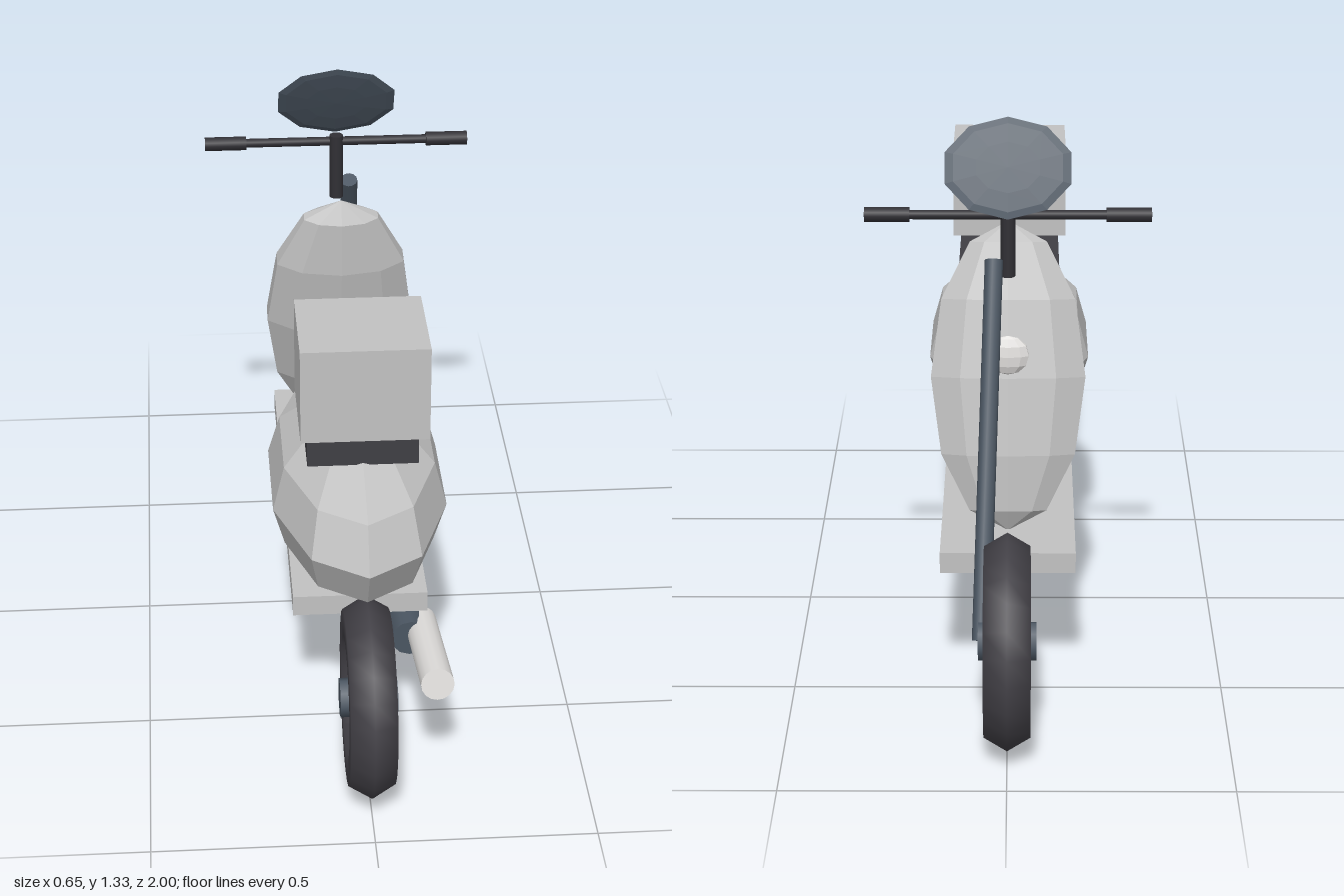
import * as THREE from 'three';

const mat = (name, color) => {
  const m = new THREE.MeshStandardMaterial({ color });
  m.name = name;
  return m;
};

export function createModel() {
  const model = new THREE.Group();
  model.name = 'scooter';
  const paint = mat('light grey paint', 0xc2c2c2);
  const chrome = mat('bright metal', 0xe4e2e0);
  const slate = mat('slate metal', 0x4b5662);
  const rubber = mat('tyre rubber', 0x434147);
  const black = mat('black trim', 0x313035);
  const vinyl = mat('seat vinyl', 0x403f44);

  const add = (name, geo, material, pos = [0, 0, 0], parent = model) => {
    const m = new THREE.Mesh(geo, material);
    m.name = name;
    m.position.set(...pos);
    parent.add(m);
    return m;
  };
  const box = (name, material, x, y0, y1, z0, z1) =>
    add(name, new THREE.BoxGeometry(2 * x, y1 - y0, z1 - z0), material, [0, (y0 + y1) / 2, (z0 + z1) / 2]);

  // Faceted ellipsoid with a vertex row along z
  const pod = (rx, ry, rz) => {
    const g = new THREE.SphereGeometry(1, 10, 6).rotateY(Math.PI / 2).scale(rx, ry, rz).toNonIndexed();
    g.computeVertexNormals();
    return g;
  };
  // Straight round bar between two points
  const bar = (name, material, a, b, r, sides = 12, parent = model) => {
    const p = new THREE.Vector3(...a), q = new THREE.Vector3(...b);
    const d = q.clone().sub(p);
    const m = add(name, new THREE.CylinderGeometry(r, r, d.length(), sides), material,
      p.clone().add(q).multiplyScalar(0.5).toArray(), parent);
    m.quaternion.setFromUnitVectors(new THREE.Vector3(0, 1, 0), d.normalize());
    return m;
  };

  // Wheels: tyre, hub and five spokes
  const wheel = (name, y, z, r) => {
    const g = new THREE.Group();
    g.name = name;
    g.position.set(0, y, z);
    add('tyre', new THREE.TorusGeometry(r - 0.06, 0.06, 6, 24).rotateY(Math.PI / 2), rubber, [0, 0, 0], g);
    bar('hub', slate, [-0.065, 0, 0], [0.065, 0, 0], 0.045, 8, g);
    for (let i = 0; i < 5; i++) {
      const a = i * Math.PI * 2 / 5;
      bar('spoke', chrome, [0, 0, 0], [0, Math.sin(a) * (r - 0.09), -Math.cos(a) * (r - 0.09)], 0.011, 6, g);
    }
    model.add(g);
  };
  wheel('frontWheel', 0.245, -0.757, 0.243);
  wheel('rearWheel', 0.236, 0.77, 0.23);

  // Body
  add('rearBody', pod(0.21, 0.2, 0.445), paint, [0, 0.57, 0.355]);
  add('legShield', pod(0.19, 0.364, 0.082), paint, [0, 0.693, -0.262]).rotation.x = 0.27;
  box('floorboard', paint, 0.157, 0.295, 0.345, -0.5, 0.515);
  box('seat', vinyl, 0.125, 0.735, 0.815, 0.035, 0.585);
  box('topCase', paint, 0.143, 0.835, 1.058, 0.395, 0.655);
  add('headlight', pod(0.05, 0.047, 0.019), chrome, [0, 0.797, -0.408]);

  // Steering
  bar('fork', slate, [0.032, 1.01, -0.362], [0.058, 0.245, -0.755], 0.021);
  bar('steeringStem', black, [0, 0.97, -0.355], [0, 1.135, -0.355], 0.017);
  bar('handlebar', black, [-0.3, 1.117, -0.36], [0.3, 1.117, -0.36], 0.011);
  for (const s of [-1, 1]) bar('grip', black, [s * 0.223, 1.117, -0.36], [s * 0.325, 1.117, -0.36], 0.017);

  // Thin lens-shaped windscreen
  const lens = new THREE.SphereGeometry(1, 10, 6).rotateY(-Math.PI / 2)
    .scale(0.15, 0.008, 0.118).rotateX(-Math.PI / 2).toNonIndexed();
  lens.computeVertexNormals();
  add('windscreen', lens, slate, [0, 1.225, -0.356]).rotation.x = 0.48;

  // Exhaust
  bar('exhaustPipe', slate, [0.1, 0.247, 0.21], [0.115, 0.243, 0.55], 0.045);
  bar('muffler', chrome, [0.145, 0.237, 0.47], [0.153, 0.293, 0.815], 0.038, 16);

  return model;
}
